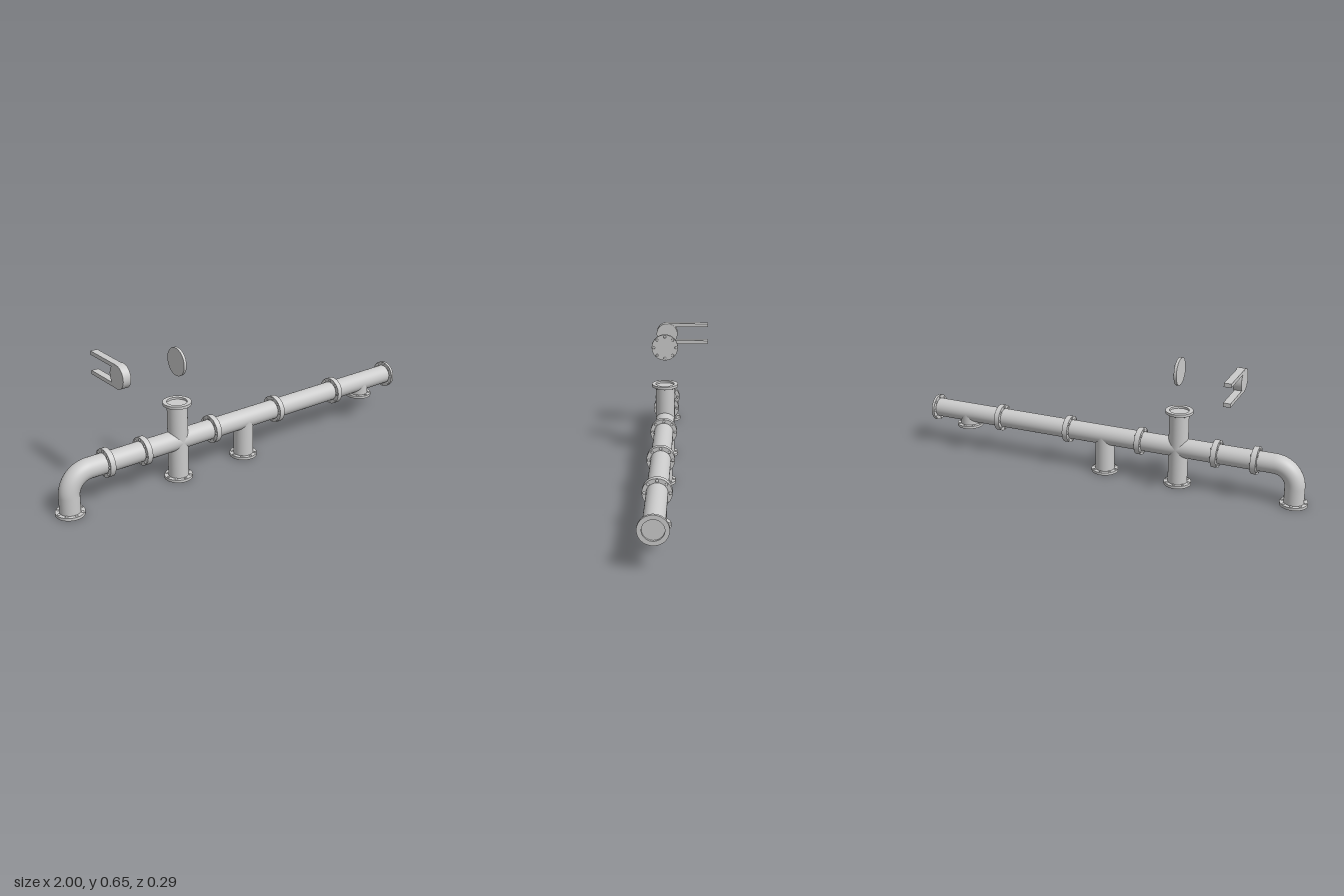
import * as THREE from 'three';

const PIPE_R = 0.048, FLANGE_R = 0.067, FLANGE_T = 0.0134, RECESS = 0.01;
const UNIT = 0.1935;          // half length of one pipe module, also the axis height
const AXIS_Z = 0.077;
const UP = new THREE.Vector3(0, 1, 0);
const V = (x, y, z = AXIS_Z) => new THREE.Vector3(x, y, z);

const material = new THREE.MeshStandardMaterial({ color: 0xcccccc });

function add(parent, name, geometry) {
  const mesh = new THREE.Mesh(geometry, material);
  mesh.name = name;
  parent.add(mesh);
  return mesh;
}

// solid cylinder between two points
function rod(parent, name, a, b, r, sides = 48) {
  const dir = b.clone().sub(a);
  const mesh = add(parent, name, new THREE.CylinderGeometry(r, r, dir.length(), sides));
  mesh.position.copy(a).lerp(b, 0.5);
  mesh.quaternion.setFromUnitVectors(UP, dir.normalize());
  return mesh;
}

// ring of eight domed bolt heads standing on the local plane y, pointing down
function boltRing(parent, y) {
  const profile = [[0, -0.0045], [0.004, -0.0042], [0.0065, -0.0025], [0.007, 0.001]]
    .map(([r, h]) => new THREE.Vector2(r, h));
  const head = new THREE.LatheGeometry(profile, 10);
  for (let i = 0; i < 8; i++) {
    const a = i * Math.PI / 4;
    add(parent, 'bolt', head).position.set(0.0565 * Math.cos(a), y, 0.0565 * Math.sin(a));
  }
}

// flange ring whose open face lies at pos and looks along dir
function flange(parent, pos, dir) {
  const g = new THREE.Group();
  g.name = 'flange';
  const shape = new THREE.Shape().absarc(0, 0, FLANGE_R, 0, Math.PI * 2);
  shape.holes.push(new THREE.Path().absarc(0, 0, PIPE_R - 0.001, 0, Math.PI * 2, true));
  const ring = new THREE.ExtrudeGeometry(shape, { depth: FLANGE_T, bevelEnabled: false, curveSegments: 48 });
  ring.rotateX(Math.PI / 2);            // face at y = 0, body below
  add(g, 'flangeRing', ring);
  boltRing(g, -FLANGE_T);
  g.position.copy(pos);
  g.quaternion.setFromUnitVectors(UP, dir);
  parent.add(g);
}

// pipe stub from the axis to a flanged end
function branch(parent, name, from, to) {
  const dir = to.clone().sub(from).normalize();
  rod(parent, name, from, to.clone().addScaledVector(dir, -RECESS), PIPE_R);
  flange(parent, to, dir);
}

// straight run with a flange at both ends
function run(parent, name, x0, x1) {
  const g = new THREE.Group();
  g.name = name;
  const mid = V((x0 + x1) / 2, UNIT);
  branch(g, 'pipe', mid, V(x0, UNIT));
  branch(g, 'pipe', mid, V(x1, UNIT));
  parent.add(g);
  return g;
}

export function createModel() {
  const root = new THREE.Group();
  root.name = 'pipeline';

  // module joints along the axis, counted back from the right-hand end
  const j = [4.5, 3.5, 2, 1, 0].map(() => 0);
  [9, 8, 6, 4, 2, 0].forEach((n, i) => { j[i] = 1 - n * UNIT; });

  // elbow: quarter bend with two short legs
  const elbow = new THREE.Group();
  elbow.name = 'elbow';
  const ex = 1 - 10 * UNIT + 0.002, bend = 0.102;
  class Bend extends THREE.Curve {
    getPoint(t, out = new THREE.Vector3()) {
      const a = Math.PI - t * Math.PI / 2;
      return out.set(ex + bend + bend * Math.cos(a), UNIT - bend + bend * Math.sin(a), AXIS_Z);
    }
  }
  add(elbow, 'elbowBend', new THREE.TubeGeometry(new Bend(), 28, PIPE_R, 48));
  branch(elbow, 'elbowLeg', V(ex, UNIT - bend), V(ex, 0));
  branch(elbow, 'elbowLeg', V(ex + bend, UNIT), V(j[0], UNIT));
  root.add(elbow);

  // spool, cross, tee, straight pipe and short-branch tee
  run(root, 'shortPipe', j[0], j[1]);
  const cross = run(root, 'cross', j[1], j[2]);
  const cx = (j[1] + j[2]) / 2;
  branch(cross, 'crossBranch', V(cx, UNIT), V(cx, 2 * UNIT));
  branch(cross, 'crossBranch', V(cx, UNIT), V(cx, 0));

  const tee = run(root, 'tee', j[2], j[3]);
  const tx = (j[2] + j[3]) / 2;
  branch(tee, 'teeBranch', V(tx, UNIT), V(tx, 0));

  run(root, 'longPipe', j[3], j[4]);
  const shortTee = run(root, 'shortTee', j[4], j[5]);
  const sx = (j[4] + j[5]) / 2;
  branch(shortTee, 'shortBranch', V(sx, UNIT), V(sx, 0.123));

  // loose blind flange, bolts on its +x side
  const blind = new THREE.Group();
  blind.name = 'blindFlange';
  add(blind, 'blindDisc', new THREE.CylinderGeometry(FLANGE_R, FLANGE_R, FLANGE_T, 48));
  boltRing(blind, -FLANGE_T / 2);
  blind.rotation.z = Math.PI / 2;
  blind.position.set(-0.35, 0.5815, AXIS_Z);
  root.add(blind);

  // loose pipe support: round head with two parallel arms to the back
  const support = new THREE.Group();
  support.name = 'pipeSupport';
  const sy = 0.5825, sr = 0.056, sz = 0.075;
  rod(support, 'supportHead', V(-0.666, sy, sz), V(-0.626, sy, sz), sr);
  for (const s of [1, -1]) {
    const arm = add(support, 'supportArm', new THREE.BoxGeometry(0.035, 0.0185, sz + 0.144));
    arm.position.set(-0.648, sy + s * (sr - 0.00925), (sz - 0.144) / 2);
  }
  root.add(support);

  return root;
}
